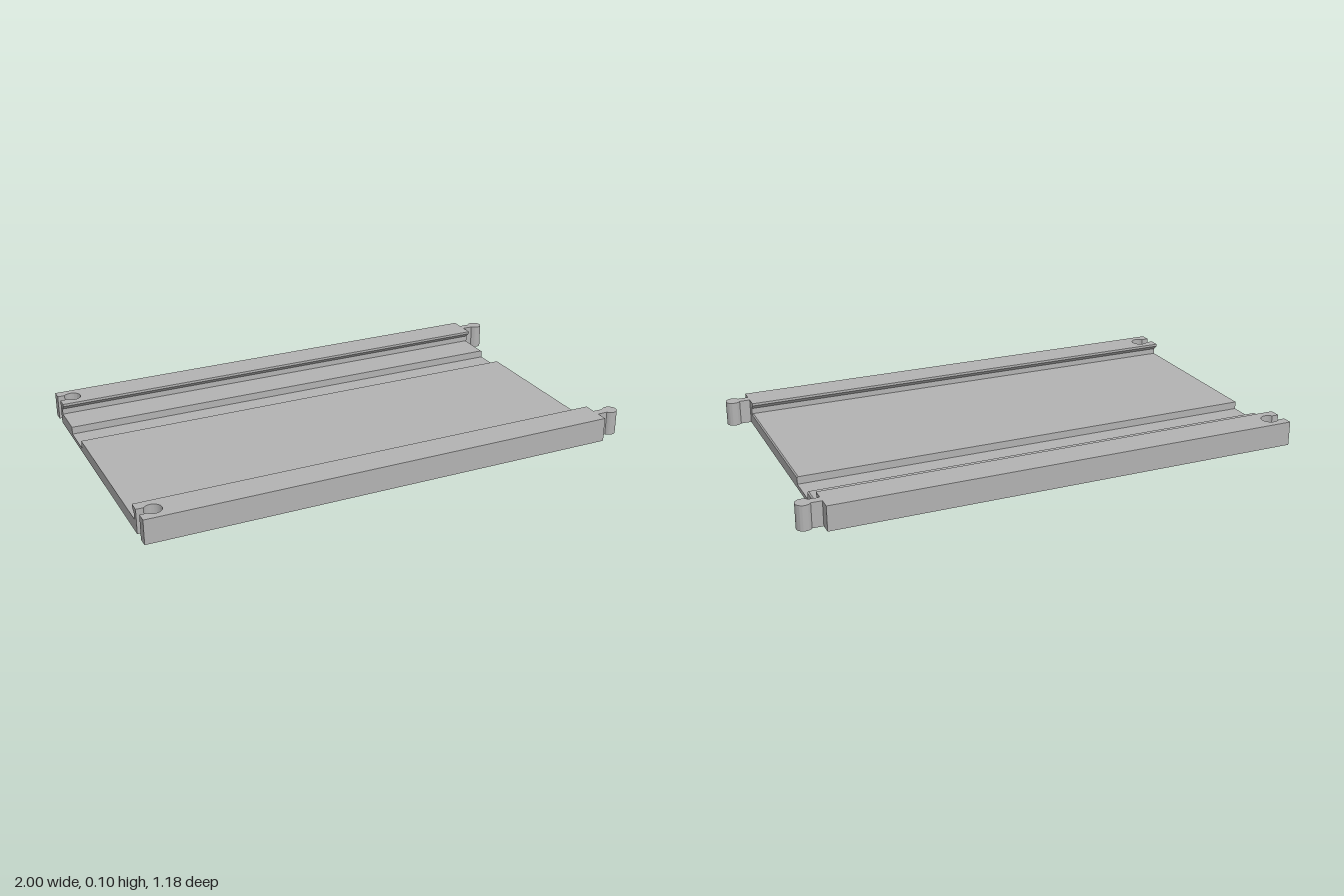
import * as THREE from 'three';
import { toCreasedNormals } from 'three/addons/utils/BufferGeometryUtils.js';

const LEFT = 0.905, RIGHT = -1, HEIGHT = 0.098;   // body ends and rail height
const INNER = 0.482, OUTER = 0.589, PIN_Z = 0.527; // rail walls and connector line

export function createModel() {
  const group = new THREE.Group();
  const grey = new THREE.MeshStandardMaterial({ color: 0xb2b2b2 });
  grey.name = 'plainGrey';

  const add = (name, geometry) => {
    const mesh = new THREE.Mesh(toCreasedNormals(geometry, 0.6), grey);
    mesh.name = name;
    group.add(mesh);
  };
  const polygon = (points) => new THREE.Shape(points.map(([x, y]) => new THREE.Vector2(x, y)));

  // Deck slab: side profile in x and y, extruded across z, bevelled at the pin end
  const slab = (name, z0, z1, top, bevel) => {
    const points = [[RIGHT, 0], [LEFT, 0], [LEFT, top - bevel]];
    if (bevel) points.push([LEFT - bevel, top]);
    points.push([RIGHT, top]);
    const g = new THREE.ExtrudeGeometry(polygon(points), { depth: z1 - z0, bevelEnabled: false });
    add(name, g.translate(0, 0, z0));
  };
  slab('mainDeck', -0.205, INNER, 0.047, 0.005);
  slab('grooveFloor', -0.343, -0.205, 0.017, 0);
  slab('backLedge', -INNER, -0.343, 0.047, 0.005);

  // Rail plan with a round pin at one end and a matching socket at the other
  const railShape = (s) => {
    const pinX = 0.971, pinR = 0.029, neck = 0.016, pinA = Math.PI - Math.asin(neck / pinR);
    const holeX = -0.945, holeR = 0.034, slot = 0.021, holeA = Math.PI - Math.asin(slot / holeR);
    const shape = new THREE.Shape();
    shape.moveTo(RIGHT, s * INNER);
    shape.lineTo(LEFT, s * INNER);
    shape.lineTo(LEFT, s * (PIN_Z - neck));
    shape.absarc(pinX, s * PIN_Z, pinR, -s * pinA, s * pinA, s < 0);
    shape.lineTo(LEFT, s * (PIN_Z + neck));
    shape.lineTo(LEFT, s * OUTER);
    shape.lineTo(RIGHT, s * OUTER);
    shape.lineTo(RIGHT, s * (PIN_Z + slot));
    shape.absarc(holeX, s * PIN_Z, holeR, s * holeA, -s * holeA, s > 0);
    shape.lineTo(RIGHT, s * (PIN_Z - slot));
    shape.closePath();
    return shape;
  };

  for (const [side, s] of [['front', 1], ['back', -1]]) {
    const rail = new THREE.ExtrudeGeometry(railShape(s), {
      depth: HEIGHT, bevelEnabled: false, curveSegments: 32,
    });
    add(side + 'Rail', rail.rotateX(Math.PI / 2).translate(0, HEIGHT, 0));

    // Overhanging lip with a sloped underside, extruded along x
    const lip = new THREE.ExtrudeGeometry(
      polygon([[-s * INNER, HEIGHT], [-s * 0.463, HEIGHT], [-s * 0.463, 0.088], [-s * INNER, 0.07]]),
      { depth: LEFT - RIGHT, bevelEnabled: false });
    add(side + 'Lip', lip.rotateY(Math.PI / 2).translate(RIGHT, 0, 0));
  }
  return group;
}
